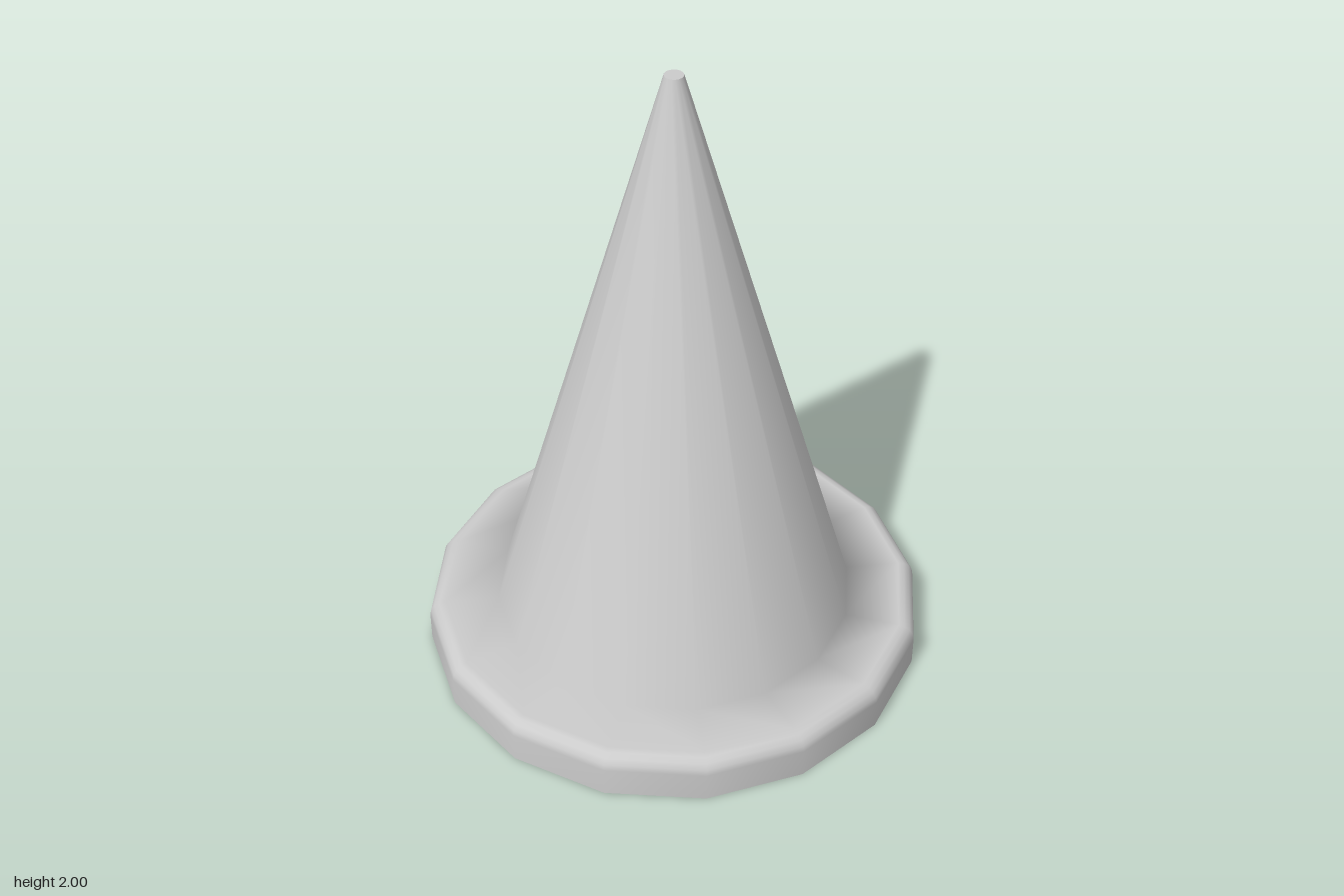
import * as THREE from 'three';

const SIDES = 16;
const BASE_R = 0.78, BASE_H = 0.147, ROUND = 0.05;
const FOOT_R = 0.56, TIP_R = 0.028, HEIGHT = 2;

export function createModel() {
  const group = new THREE.Group();
  group.name = 'trafficCone';
  const material = new THREE.MeshStandardMaterial({ color: 0xcccccc });

  const add = (name, geometry) => {
    const mesh = new THREE.Mesh(geometry, material);
    mesh.name = name;
    group.add(mesh);
    return mesh;
  };

  // Base wall, rounded rim, flange and cone as one smooth skin
  const profile = [new THREE.Vector2(BASE_R, 0)];
  for (let i = 0; i <= 4; i++) {
    const a = (i / 4) * Math.PI / 2;
    profile.push(new THREE.Vector2(
      BASE_R - ROUND + ROUND * Math.cos(a),
      BASE_H - ROUND + ROUND * Math.sin(a)));
  }
  profile.push(new THREE.Vector2(FOOT_R, BASE_H), new THREE.Vector2(TIP_R, HEIGHT));
  add('coneAndBase', new THREE.LatheGeometry(profile, SIDES));

  // Flat discs closing the underside and the tip
  const disc = (name, radius, y, turn) => {
    const mesh = add(name, new THREE.CircleGeometry(radius, SIDES));
    mesh.rotation.x = turn;
    mesh.position.y = y;
  };
  disc('underside', BASE_R, 0, Math.PI / 2);
  disc('tipCap', TIP_R, HEIGHT, -Math.PI / 2);

  return group;
}
